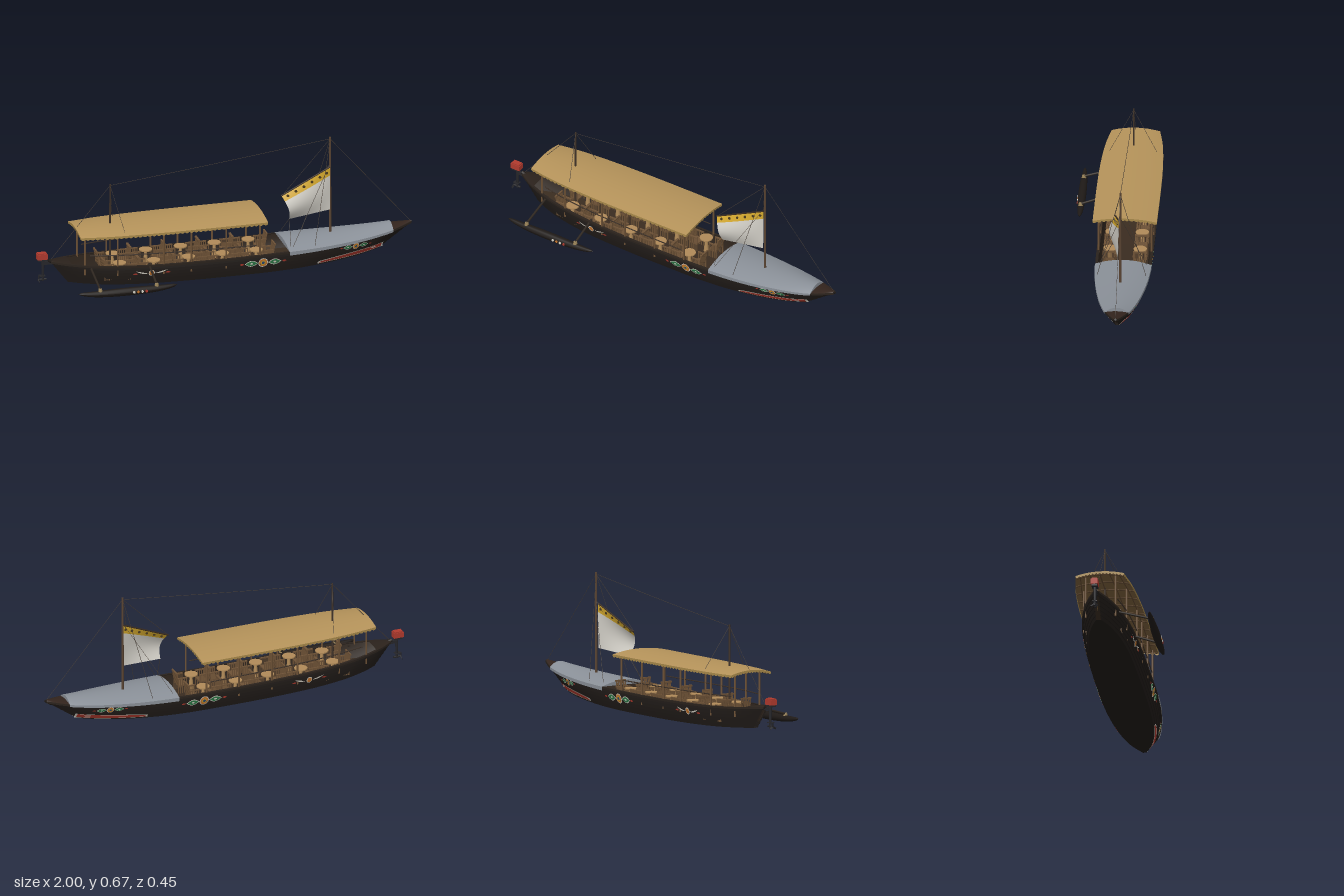
import * as THREE from 'three';
import { mergeGeometries } from 'three/addons/utils/BufferGeometryUtils.js';

const DARK = 0x1f1a17, WOOD = 0x6e5236, THATCH = 0xb5935a, CANVAS = 0x8a9098, ROPE = 0x4a4038;
const WHITE = 0xd8d4c8, RED = 0xb03a2e, GREEN = 0x2f7d4a, ORANGE = 0xc9772e, BLUE = 0x2c4a78, YELLOW = 0xd0a52c;
const V = (x, y, z) => new THREE.Vector3(x, y, z);
const lerp = THREE.MathUtils.lerp, clamp = THREE.MathUtils.clamp;

// smooth interpolation through [x, value] pairs
function spl(p, x) {
  const n = p.length - 1;
  x = clamp(x, p[0][0], p[n][0]);
  let i = 0;
  while (i < n - 1 && x > p[i + 1][0]) i++;
  const slope = j => { const a = p[Math.max(j - 1, 0)], b = p[Math.min(j + 1, n)]; return (b[1] - a[1]) / (b[0] - a[0]); };
  const h = p[i + 1][0] - p[i][0], t = (x - p[i][0]) / h, t2 = t * t, t3 = t2 * t;
  return (2 * t3 - 3 * t2 + 1) * p[i][1] + (t3 - 2 * t2 + t) * h * slope(i) + (3 * t2 - 2 * t3) * p[i + 1][1] + (t3 - t2) * h * slope(i + 1);
}
// half width and height of the sheer, height of the bottom, half width of the roof
const BEAM = [[-.93, .012], [-.87, .045], [-.8, .072], [-.7, .1], [-.5, .128], [-.2, .14], [.1, .142], [.3, .14], [.5, .128], [.7, .1], [.85, .065], [.93, .035], [.99, .006]];
const SHEER = [[-.93, .137], [-.85, .13], [-.7, .119], [-.4, .109], [0, .106], [.3, .11], [.6, .119], [.85, .137], [.99, .158]];
const KEEL = [[-.84, .02], [-.6, .008], [-.3, .001], [0, 0], [.3, .003], [.6, .017], [.82, .036]];
const ROOF = [[-.8, .125], [-.65, .147], [-.45, .16], [-.2, .165], [.185, .165]];

// surface from a rule fn(u, v) -> Vector3
function grid(nu, nv, fn) {
  const g = new THREE.PlaneGeometry(1, 1, nu, nv), p = g.attributes.position;
  for (let i = 0; i < p.count; i++) {
    const q = fn(p.getX(i) + .5, p.getY(i) + .5);
    p.setXYZ(i, q.x, q.y, q.z);
  }
  g.computeVertexNormals();
  return g;
}
// point on the hull: t along, v from bottom to sheer, d outward
function hull(t, v, side, d = 0) {
  const xt = -.93 + 1.92 * t, xb = -.84 + 1.66 * t;
  const z = spl(BEAM, xt) * (.77 + .23 * Math.sin(v * Math.PI / 2));
  return V(lerp(xb, xt, v), lerp(spl(KEEL, xb), spl(SHEER, xt), v), side * Math.max(z + d, 0));
}
function hullZ(x, y) {
  let t = .5, v = .5;
  for (let i = 0; i < 14; i++) {
    t = clamp((x - lerp(-.84, -.93, v)) / lerp(1.66, 1.92, v), 0, 1);
    const yb = spl(KEEL, -.84 + 1.66 * t);
    v = clamp((y - yb) / (spl(SHEER, -.93 + 1.92 * t) - yb), 0, 1);
  }
  return hull(t, v, 1).z;
}
function bar(a, b, r, r2 = r, n = 8) {
  const d = b.clone().sub(a), g = new THREE.CylinderGeometry(r2, r, d.length(), n);
  g.applyQuaternion(new THREE.Quaternion().setFromUnitVectors(V(0, 1, 0), d.normalize()));
  return g.translate((a.x + b.x) / 2, (a.y + b.y) / 2, (a.z + b.z) / 2);
}
const box = (w, h, d, x, y, z) => new THREE.BoxGeometry(w, h, d).translate(x, y, z);

export function createModel() {
  const model = new THREE.Group(), boat = new THREE.Group();
  boat.name = 'boat';
  boat.position.z = -.058;
  model.add(boat);
  const mats = {};
  const add = (name, geo, color) => {
    mats[color] ??= new THREE.MeshStandardMaterial({ color, side: THREE.DoubleSide });
    const m = new THREE.Mesh(Array.isArray(geo) ? mergeGeometries(geo.map(g => g.index ? g.toNonIndexed() : g)) : geo, mats[color]);
    m.name = name;
    boat.add(m);
    return m;
  };
  const sides = [1, -1];

  // hull: overlapping planks, flat bottom, lining, floor and gunwales
  const planks = [], lining = [], rails = [];
  for (const s of sides) {
    for (let k = 0; k < 6; k++) {
      planks.push(grid(64, 1, (u, w) => hull(u, (k + w) / 6, s, .004 * (1 - w))));
      planks.push(grid(64, 1, (u, w) => hull(u, k / 6, s, .004 * w)));
    }
    lining.push(grid(48, 4, (u, w) => hull(u, .3 + .7 * w, s, -.009)));
    rails.push(grid(64, 1, (u, w) => hull(u, 1, s, .004 - .014 * w).add(V(0, .003, 0))));
    rails.push(grid(64, 1, (u, w) => hull(u, 1, s, .004).add(V(0, .003 - .01 * w, 0))));
  }
  const across = (v, d) => grid(64, 2, (u, w) => { const p = hull(u, v, 1, d); p.z *= 2 * w - 1; return p; });
  add('hullPlanks', planks, DARK);
  add('hullBottom', across(0, 0), DARK);
  add('hullLining', lining, 0x2e241c);
  add('floor', across(.32, -.006), 0x3a2c20);
  add('gunwales', rails, 0x2a221c);
  add('stemHead', bar(V(.955, .138, 0), V(.993, .161, 0), .009, .006), DARK);
  add('sternHead', bar(V(-.90, .125, 0), V(-.94, .142, 0), .012, .01), DARK);

  // end decks and canvas foredeck cover with side flaps
  const deck = (x0, x1, camber, out) => grid(24, 12, (u, w) => {
    const x = lerp(x0, x1, u), s = 2 * w - 1;
    return V(x, spl(SHEER, x) + .003 + camber * (1 - s * s), s * (spl(BEAM, x) + out));
  });
  add('bowDeck', deck(.86, .985, .006, 0), 0x33241d);
  add('sternDeck', deck(-.925, -.83, .004, 0), 0x2a211b);
  const cover = [deck(.305, .88, .026, .006)];
  for (const s of sides) cover.push(grid(24, 1, (u, w) => {
    const x = lerp(.305, .88, u);
    return V(x, spl(SHEER, x) + .003 - w * lerp(.02, .012, u), s * (spl(BEAM, x) + .006));
  }));
  for (const x of [.305, .88]) cover.push(grid(12, 1, (u, w) => {
    const s = 2 * u - 1;
    return V(x, spl(SHEER, x) + .003 + w * .026 * (1 - s * s), s * (spl(BEAM, x) + .006));
  }));
  add('foredeckCover', cover, CANVAS);

  // arched thatch roof with scalloped valance and rafters
  const roofAt = (x, s, drop = 0) => V(x, .314 - .018 * s * s - drop, s * spl(ROOF, x));
  const roofX = u => lerp(-.8, .185, u);
  add('roof', grid(40, 16, (u, w) => roofAt(roofX(u), 2 * w - 1)), THATCH);
  add('roofUnderside', grid(40, 16, (u, w) => roofAt(roofX(u), (2 * w - 1) * .99, .005)), 0x7a5f3b);
  const scallop = (u, n) => .009 + .006 * Math.abs(Math.sin(u * n * Math.PI));
  const valance = [];
  for (const s of sides) valance.push(grid(240, 1, (u, w) => roofAt(roofX(u), s, w * scallop(u, 40))));
  for (const x of [-.8, .185]) valance.push(grid(84, 1, (u, w) => roofAt(x, 2 * u - 1, w * scallop(u, 14))));
  add('roofValance', valance, 0xa8894a);
  const rafters = [], xs = [-.765, -.6, -.36, -.215, -.03, .15];
  for (let i = 0; i < 11; i++) {
    const x = lerp(-.78, .17, i / 10);
    const c = new THREE.CatmullRomCurve3([-.97, -.5, 0, .5, .97].map(s => roofAt(x, s, .009)));
    rafters.push(new THREE.TubeGeometry(c, 12, .004, 5));
  }
  for (const s of [-.8, -.4, 0, .4, .8]) {
    const c = new THREE.CatmullRomCurve3([0, .25, .5, .75, 1].map(u => roofAt(lerp(-.79, .175, u), s, .013)));
    rafters.push(new THREE.TubeGeometry(c, 16, .0035, 5));
  }
  add('rafters', rafters, 0x5c442c);

  // roof posts and hand rails
  const posts = [], handRails = [], edge = x => spl(BEAM, x) - .006;
  for (const s of sides) {
    for (const x of xs) posts.push(bar(V(x, spl(SHEER, x) - .05, s * edge(x)), V(x, .3, s * edge(x)), .005));
    const c = new THREE.CatmullRomCurve3([-.74, -.6, -.36, -.1, .13].map(x => V(x, lerp(.178, .165, (x + .74) / .87), s * edge(x))));
    handRails.push(new THREE.TubeGeometry(c, 30, .003, 5));
  }
  add('roofPosts', posts, WOOD);
  add('handRails', handRails, 0x3d3128);

  // slatted chairs facing round tables on both sides of the aisle
  const parts = [box(.046, .008, .06, 0, .042, 0), box(.008, .008, .064, -.034, .112, 0)];
  for (let i = 0; i < 6; i++) {
    const slat = new THREE.BoxGeometry(.004, .075, .006).rotateZ(.16);
    parts.push(slat.translate(-.028, .076, -.027 + i * .0108));
  }
  for (const s of sides) {
    parts.push(box(.054, .006, .008, -.004, .083, s * .03));
    for (let i = 0; i < 5; i++) parts.push(box(.005, .082, .004, -.024 + i * .011, .041, s * .03));
  }
  const chairGeo = mergeGeometries(parts);
  for (const tx of [-.58, -.4, -.215, -.035, .145]) for (const s of sides) {
    const off = x => s * Math.min(.078, spl(BEAM, x) - .05), y = .036;
    for (const f of sides) {
      const c = add('chair', chairGeo, WOOD), x = tx - f * .058;
      c.position.set(x, y, off(x));
      if (f < 0) c.rotation.y = Math.PI;
    }
    add('table', [new THREE.CylinderGeometry(.034, .034, .006, 20).translate(tx, .118, off(tx)),
      new THREE.CylinderGeometry(.006, .014, .08, 10).translate(tx, .076, off(tx))], 0xb08a58);
  }

  // masts and rigging
  const foreTop = V(.56, .655, 0), aftTop = V(-.61, .52, 0);
  add('foreMast', bar(V(.56, .03, 0), V(.56, .665, 0), .007, .005, 10), 0x5a4432);
  add('aftMast', bar(V(-.61, .03, 0), V(-.61, .527, 0), .006, .004, 10), 0x3f3228);
  const ropes = [[foreTop, V(.99, .158, 0)], [aftTop, V(-.93, .14, 0)], [foreTop, V(.29, .385, .045)], [V(.33, .255, .05), V(.32, .13, .11)]];
  for (const s of sides) {
    ropes.push([foreTop, V(.445, .125, s * .125)], [aftTop, V(-.565, .302, s * .122)]);
    ropes.push([V(.56, .52, 0), V(.33, .13, s * .12)]);
  }
  const lines = ropes.map(([a, b]) => bar(a, b, .0012, .0012, 4));
  lines.push(new THREE.TubeGeometry(new THREE.CatmullRomCurve3([foreTop, V(0, .588, 0), aftTop]), 24, .0012, 4));
  add('rigging', lines, ROPE);

  // billowing sail with a spotted band below its yard
  const sailAt = (u, v, d = 0) => {
    const top = V(.29, .385, .04).lerp(V(.557, .505, .01), u), foot = V(.33, .255, .045).lerp(V(.557, .272, .012), u);
    const p = top.lerp(foot, v), belly = Math.sin(Math.PI * v);
    p.x += .012 * belly * (1 - u) * .8;
    p.z += .03 * belly * (1 - u * u) + d;
    return p;
  };
  add('sail', grid(20, 20, (u, v) => sailAt(u, .2 + .8 * v)), 0xcfccc4);
  add('sailBand', grid(20, 5, (u, v) => sailAt(u, .2 * v)), YELLOW);
  add('yard', bar(sailAt(-.01, 0), sailAt(1, 0), .004), 0x3a2c20);
  add('sailSpots', [.1, .27, .44, .61, .78, .93].map(u => {
    const p = sailAt(u, .1);
    return new THREE.CylinderGeometry(.007, .007, .006, 10).rotateX(Math.PI / 2).translate(p.x, p.y, p.z);
  }), 0x4a3a1c);

  // painted ornaments that follow the hull sides
  const paint = (name, color, x0, x1, lo, hi, layer, n = 16) => {
    add(name, sides.map(s => grid(n, 4, (u, w) => {
      const x = lerp(x0, x1, u), y = lerp(lo(u), hi(u), w);
      return V(x, y, s * (hullZ(x, y) + .0045 + layer * .0008));
    })), color);
  };
  const oval = (name, color, x, y, rx, ry, layer) => {
    const h = u => ry * Math.sqrt(Math.max(0, 1 - (2 * u - 1) ** 2));
    paint(name, color, x - rx, x + rx, u => y - h(u), u => y + h(u), layer);
  };
  const leaf = (name, color, x, y, rx, ry, layer) => {
    const h = u => ry * Math.sin(Math.PI * u);
    paint(name, color, x - rx, x + rx, u => y - h(u), u => y + h(u), layer);
  };
  for (const [x, y, k] of [[.165, .068, 1], [.67, .092, .72]]) {
    [[WHITE, .026], [ORANGE, .022], [YELLOW, .013], [BLUE, .008]].forEach(([c, r], i) => oval('roundel', c, x, y, r * k, r * k, i));
    for (const s of sides) {
      leaf('leafBorder', WHITE, x + s * .062 * k, y, .036 * k, .018 * k, 0);
      leaf('leaf', GREEN, x + s * .062 * k, y, .031 * k, .014 * k, 1);
      oval('leafEye', WHITE, x + s * .062 * k, y, .008 * k, .005 * k, 2);
      leaf('dart', RED, x + s * .113 * k, y, .012 * k, .006 * k, 1);
    }
  }
  oval('sternRoundel', WHITE, -.425, .07, .016, .018, 0);
  oval('sternRoundelCentre', ORANGE, -.425, .07, .012, .014, 1);
  for (const s of sides) {
    const rise = u => .068 + .018 * (s > 0 ? u * u : (1 - u) ** 2);
    const a = s > 0 ? -.41 : -.51;
    paint('sternWing', WHITE, a, a + .07, u => rise(u) - .004 * Math.sin(Math.PI * u), u => rise(u) + .004 * Math.sin(Math.PI * u), 0);
    leaf('sternDart', RED, -.425 + s * .085, .068, .014, .005, 0);
  }
  const low = u => lerp(.019, .044, u), high = u => lerp(.026, .069, Math.sqrt(u) * .4 + u * .6);
  paint('bowPanelBorder', WHITE, .465, .835, u => low(u) - .003, u => high(u) + .003, 0, 30);
  paint('bowPanel', RED, .475, .825, low, high, 1, 30);
  leaf('bowPanelEye', WHITE, .775, .055, .02, .005, 2);

  // outrigger float with two arms
  const zF = .263, float = grid(32, 14, (u, w) => {
    const x = lerp(-.85, -.325, u), e = Math.pow(Math.sin(Math.PI * clamp(u, .0, 1)), .45), a = w * Math.PI * 2;
    return V(x, .034 + .012 * (2 * u - 1) ** 4 + .021 * e * Math.sin(a), zF + .021 * e * Math.cos(a));
  });
  add('outriggerFloat', float, DARK);
  for (const x of [-.735, -.435]) {
    add('outriggerArm', bar(V(x, .113, spl(BEAM, x) - .02), V(x, .058, zF), .006), 0x2e261f);
    add('outriggerLashing', new THREE.CylinderGeometry(.009, .012, .016, 8).translate(x, .056, zF), 0x9a8358);
  }
  [WHITE, ORANGE, WHITE, RED].forEach((c, i) => add('floatOrnament',
    new THREE.CylinderGeometry(.007, .007, .004, 12).rotateX(Math.PI / 2).translate(-.56 + i * .022, .034, zF + .0205), c));

  // outboard motor
  add('motorCowl', [box(.054, .028, .036, -.973, .168, 0), box(.046, .008, .03, -.973, .184, 0)], RED);
  add('motorLeg', [box(.044, .01, .03, -.973, .149, 0), bar(V(-.968, .15, 0), V(-.968, .035, 0), .009, .006),
    box(.05, .016, .016, -.945, .13, 0), box(.03, .004, .026, -.972, .062, 0), bar(V(-.992, .042, 0), V(-.95, .042, 0), .006)], 0x26262a);
  add('propeller', [0, 1, 2].map(i => new THREE.BoxGeometry(.003, .02, .01).rotateY(.5).translate(0, .011, 0)
    .rotateX(i * Math.PI * 2 / 3).translate(-.99, .042, 0)), 0x26262a);
  return model;
}
